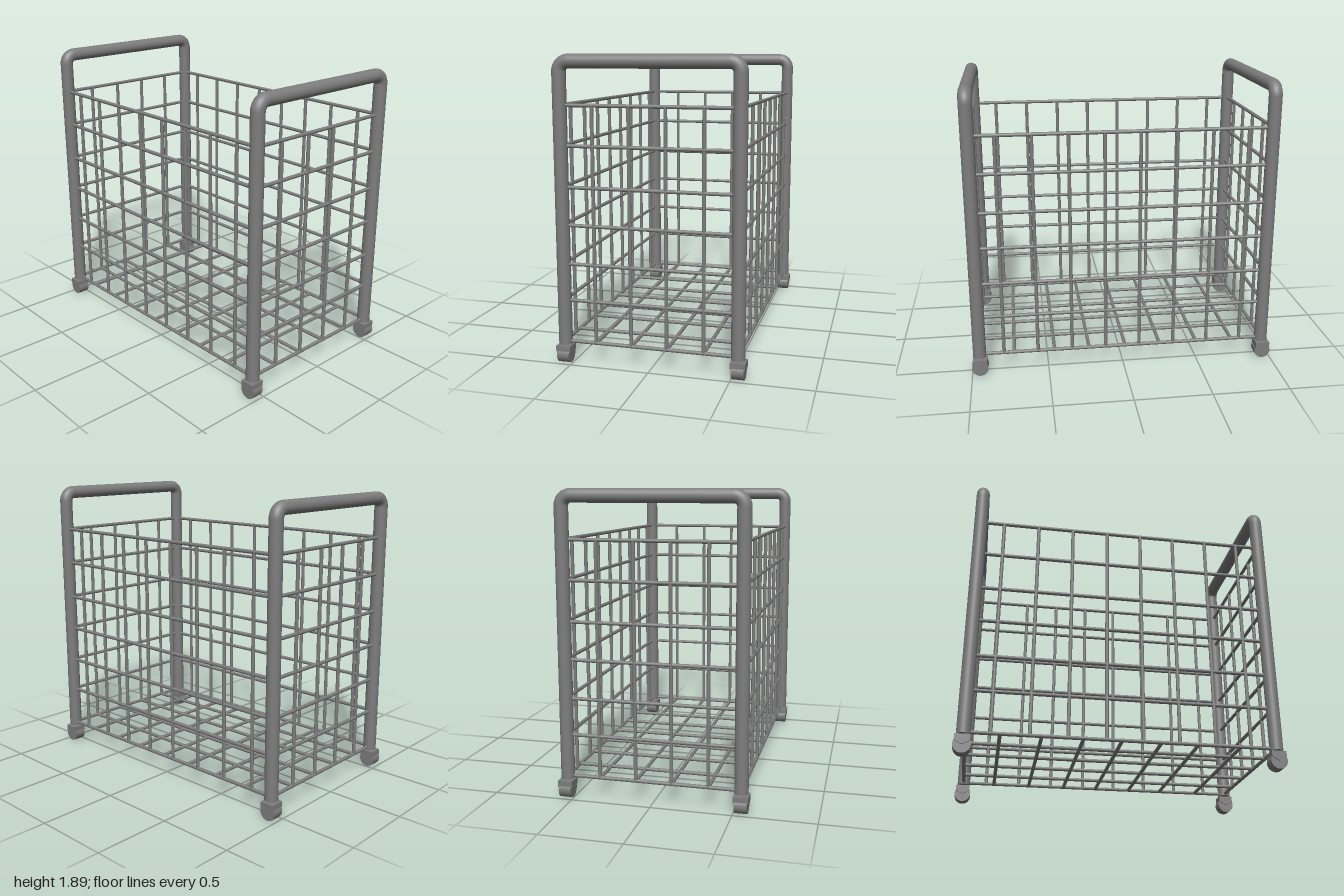
import * as THREE from 'three';

const material = new THREE.MeshStandardMaterial({ color: 0x7d7d7d });

const LEFT = 0.54, RIGHT = -0.546;    // leg centre lines
const FRONT = 0.949, BACK = -0.943;
const TUBE = 0.0425, ROD = 0.0115;    // radii
const LEG_BOTTOM = 0.122, BAR_Y = 1.845, BEND = 0.06;
const FLOOR_Y = 0.138, RIM_Y = 1.589;

const LEVELS = [FLOOR_Y, 0.4, 0.628, 0.868, 1.1, 1.349, RIM_Y];
const END_X = [-0.346, -0.12, 0.103, 0.331];
const SIDE_Z = [-0.789, -0.561, -0.334, -0.104, 0.12, 0.343, 0.568, 0.79];
const FLOOR_Z = [-0.734, -0.49, -0.242, -0.01, 0.231, 0.46, 0.724];

function addMesh(parent, name, geometry, x = 0, y = 0, z = 0) {
  const mesh = new THREE.Mesh(geometry, material);
  mesh.name = name;
  mesh.position.set(x, y, z);
  parent.add(mesh);
  return mesh;
}

// Straight round bar between two points
function addBar(parent, name, a, b, radius, sides) {
  const start = new THREE.Vector3(...a), end = new THREE.Vector3(...b);
  const dir = end.clone().sub(start);
  const mesh = addMesh(parent, name, new THREE.CylinderGeometry(radius, radius, dir.length(), sides));
  mesh.position.copy(start).add(end).multiplyScalar(0.5);
  mesh.quaternion.setFromUnitVectors(new THREE.Vector3(0, 1, 0), dir.normalize());
}

function addRod(parent, name, a, b) {
  addBar(parent, name, a, b, ROD, 12);
}

// Bent tube hoop: two legs, two rounded corners and a push bar
function createHoop(name, z) {
  const hoop = new THREE.Group();
  hoop.name = name;
  const bendY = BAR_Y - BEND;
  for (const x of [LEFT, RIGHT]) {
    addBar(hoop, 'leg', [x, LEG_BOTTOM, z], [x, bendY, z], TUBE, 24);
    const bend = addMesh(hoop, 'cornerBend',
      new THREE.TorusGeometry(BEND, TUBE, 24, 12, Math.PI / 2),
      x - Math.sign(x) * BEND, bendY, z);
    if (x < 0) bend.rotation.z = Math.PI / 2;
  }
  addBar(hoop, 'handleBar', [RIGHT + BEND, BAR_Y, z], [LEFT - BEND, BAR_Y, z], TUBE, 24);
  return hoop;
}

// Caster: housing with a pointed lower edge, and a wide wheel
function createCaster(x, z) {
  const caster = new THREE.Group();
  caster.name = 'caster';
  const profile = new THREE.Shape([
    [-0.046, 0.112], [-0.046, 0.074], [0, 0.05], [0.046, 0.074], [0.046, 0.112],
  ].map(([u, v]) => new THREE.Vector2(u, v)));
  const housing = new THREE.ExtrudeGeometry(profile, { depth: 0.092, bevelEnabled: false });
  housing.translate(0, 0, -0.046).rotateY(Math.PI / 2);
  addMesh(caster, 'casterHousing', housing);
  const wheel = new THREE.CylinderGeometry(0.053, 0.053, 0.077, 28).rotateZ(Math.PI / 2);
  addMesh(caster, 'wheel', wheel, 0, 0.053, 0);
  caster.position.set(x, 0, z);
  return caster;
}

// Wire panel across an end of the basket
function createEndPanel(name, z) {
  const panel = new THREE.Group();
  panel.name = name;
  for (const y of LEVELS) addRod(panel, 'horizontalRod', [RIGHT, y, z], [LEFT, y, z]);
  for (const x of END_X) addRod(panel, 'verticalRod', [x, FLOOR_Y, z], [x, RIM_Y, z]);
  return panel;
}

// Wire panel along a long side of the basket
function createSidePanel(name, x) {
  const panel = new THREE.Group();
  panel.name = name;
  for (const y of LEVELS) addRod(panel, 'horizontalRod', [x, y, BACK], [x, y, FRONT]);
  for (const z of SIDE_Z) addRod(panel, 'verticalRod', [x, FLOOR_Y, z], [x, RIM_Y, z]);
  return panel;
}

// Wire floor
function createFloor() {
  const floor = new THREE.Group();
  floor.name = 'basketFloor';
  for (const x of END_X) addRod(floor, 'lengthRod', [x, FLOOR_Y, BACK], [x, FLOOR_Y, FRONT]);
  for (const z of FLOOR_Z) addRod(floor, 'crossRod', [RIGHT, FLOOR_Y, z], [LEFT, FLOOR_Y, z]);
  return floor;
}

export function createModel() {
  const cart = new THREE.Group();
  cart.name = 'wireBasketCart';
  cart.add(
    createHoop('frontHoop', FRONT), createHoop('backHoop', BACK),
    createEndPanel('frontPanel', FRONT), createEndPanel('backPanel', BACK),
    createSidePanel('leftPanel', LEFT), createSidePanel('rightPanel', RIGHT),
    createFloor(),
  );
  for (const x of [LEFT + 0.004, RIGHT - 0.002])
    for (const z of [0.947, -0.947]) cart.add(createCaster(x, z));
  return cart;
}
